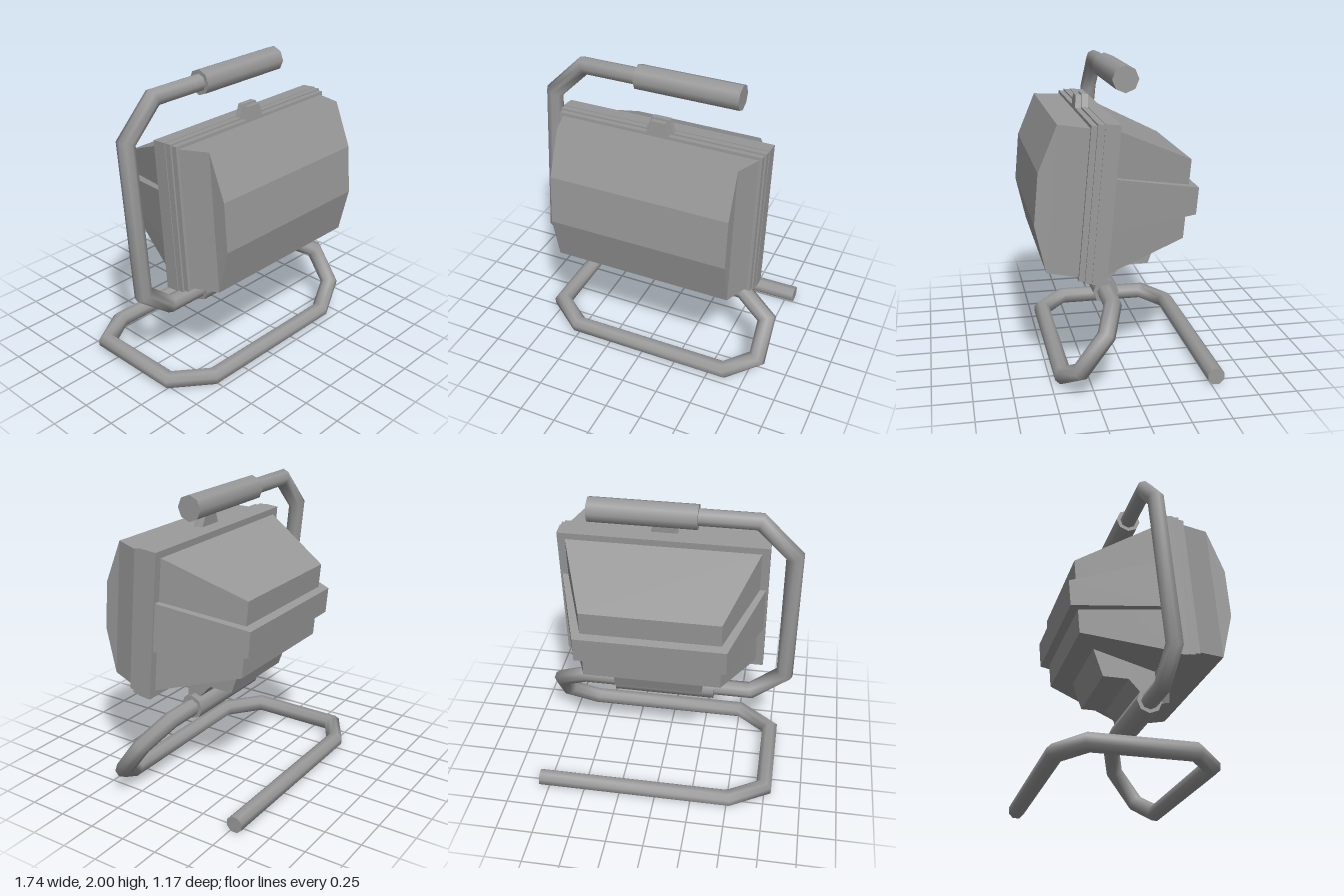
import * as THREE from 'three';

const COLOR = 0x999999;
const smooth = () => new THREE.MeshStandardMaterial({ color: COLOR });
const flat = () => new THREE.MeshStandardMaterial({ color: COLOR, flatShading: true });

function add(parent, name, geometry, material) {
  const mesh = new THREE.Mesh(geometry, material);
  mesh.name = name;
  parent.add(mesh);
  return mesh;
}

// Rectangular loft along z; sections are [z, halfWidth, halfHeight] from back to front
function loft(sections) {
  const pos = [];
  const rings = sections.map(([z, w, h]) => [[-w, -h, z], [w, -h, z], [w, h, z], [-w, h, z]]);
  const quad = (a, b, c, d) => pos.push(...a, ...b, ...c, ...a, ...c, ...d);
  for (let i = 0; i < rings.length - 1; i++) {
    for (let k = 0; k < 4; k++) {
      const n = (k + 1) % 4;
      quad(rings[i][k], rings[i][n], rings[i + 1][n], rings[i + 1][k]);
    }
  }
  quad(...rings[0].slice().reverse());
  quad(...rings[rings.length - 1]);
  const g = new THREE.BufferGeometry();
  g.setAttribute('position', new THREE.Float32BufferAttribute(pos, 3));
  g.computeVertexNormals();
  return g;
}

// Eight-sided pipe with mitred bends, smooth throughout, with flat end caps
function pipe(points, radius, sides = 8) {
  const p = points.map(a => new THREE.Vector3(...a));
  const dirs = p.slice(1).map((q, i) => q.clone().sub(p[i]).normalize());
  const u = new THREE.Vector3(0, 1, 0);
  const v = dirs[0].clone().cross(u);
  const first = [];
  for (let k = 0; k < sides; k++) {
    const a = k / sides * Math.PI * 2;
    first.push(p[0].clone().addScaledVector(u, Math.cos(a) * radius).addScaledVector(v, Math.sin(a) * radius));
  }
  // Slide the ring along each segment to the mitre plane at its far end
  const rings = [first];
  dirs.forEach((d, i) => {
    const normal = d.clone().add(dirs[i + 1] || d).normalize();
    rings.push(rings[i].map(q => {
      const t = p[i + 1].clone().sub(q).dot(normal) / d.dot(normal);
      return q.clone().addScaledVector(d, t);
    }));
  });
  const last = rings[rings.length - 1];
  const pos = [...rings, first, last].flat().flatMap(q => q.toArray());
  const idx = [];
  for (let i = 0; i < dirs.length; i++) {
    for (let k = 0; k < sides; k++) {
      const a = i * sides + k, b = i * sides + (k + 1) % sides;
      idx.push(a, b, b + sides, a, b + sides, a + sides);
    }
  }
  const startCap = rings.length * sides, endCap = startCap + sides;
  for (let k = 1; k < sides - 1; k++) {
    idx.push(startCap, startCap + k + 1, startCap + k, endCap, endCap + k, endCap + k + 1);
  }
  const g = new THREE.BufferGeometry();
  g.setAttribute('position', new THREE.Float32BufferAttribute(pos, 3));
  g.setIndex(idx);
  g.computeVertexNormals();
  return g;
}

// Bezel plate with a tapered tab at top and bottom
function bezel(w, h, tab, base, tip, z, depth) {
  const s = new THREE.Shape([
    [-w, -h], [-base, -h], [-tip, -tab], [tip, -tab], [base, -h], [w, -h],
    [w, h], [base, h], [tip, tab], [-tip, tab], [-base, h], [-w, h],
  ].map(q => new THREE.Vector2(...q)));
  return new THREE.ExtrudeGeometry(s, { depth, bevelEnabled: false }).translate(0, 0, z);
}

// Horizontal sleeve between two x positions
function sleeve(x0, x1, y, z) {
  return new THREE.CylinderGeometry(0.084, 0.084, x1 - x0, 8)
    .rotateZ(Math.PI / 2).translate((x0 + x1) / 2, y, z);
}

export function createModel() {
  const model = new THREE.Group();
  model.name = 'floodlight';

  // One bent pipe forms handle, upright, leg and floor loop
  add(model, 'tubeFrame', pipe([
    [0.45, 1.917, 0], [-0.59, 1.917, 0],
    [-0.818, 1.69, 0.005], [-0.818, 0.69, 0.105],
    [-0.59, 0.513, 0.1], [0.61, 0.513, 0.1],
    [0.814, 0.395, 0.18], [0.814, 0.175, 0.34],
    [0.608, 0.056, 0.423], [-0.51, 0.056, 0.423],
    [-0.745, 0.056, 0.24], [-0.745, 0.056, -0.39],
    [-0.51, 0.056, -0.532], [0.814, 0.056, -0.532],
  ], 0.057), smooth());
  add(model, 'handleGrip', sleeve(-0.203, 0.502, 1.917, 0), smooth());
  add(model, 'clampSleeve', sleeve(-0.33, 0.377, 0.515, 0.1), smooth());

  // Bracket joining the housing to the clamp sleeve, profile in (z, y)
  const profile = new THREE.Shape([
    [0.16, 0.53], [0.08, 0.56], [0.05, 0.6], [-0.02, 0.675], [-0.19, 0.675],
    [-0.26, 0.87], [-0.1, 1.0], [0.1, 0.95], [0.16, 0.74],
  ].map(([z, y]) => new THREE.Vector2(-z, y)));
  const bracket = new THREE.ExtrudeGeometry(profile, { depth: 0.6, bevelEnabled: false });
  bracket.rotateY(Math.PI / 2).translate(-0.27, 0, 0);
  add(model, 'mountBracket', bracket, flat());

  // Lamp head, tilted slightly upwards
  const head = new THREE.Group();
  head.name = 'lampHead';
  head.position.set(0.042, 1.2, 0.2);
  head.rotation.x = -5 * Math.PI / 180;
  model.add(head);
  add(head, 'housingRim', loft([[-0.083, 0.702, 0.495], [0.012, 0.702, 0.495]]), flat());
  add(head, 'outerBezel', bezel(0.697, 0.491, 0.572, 0.09, 0.057, 0.012, 0.043), flat());
  add(head, 'innerBezel', bezel(0.685, 0.48, 0.56, 0.075, 0.047, 0.055, 0.037), flat());
  add(head, 'frontLens', loft([[0.08, 0.668, 0.46], [0.281, 0.6, 0.46], [0.376, 0.6, 0.163]]), flat());
  add(head, 'rearHousing', loft([[-0.605, 0.455, 0.258], [-0.08, 0.65, 0.45]]), flat());
  add(head, 'rearBand', loft([[-0.661, 0.495, 0.088], [-0.08, 0.69, 0.165]]), flat());

  return model;
}
